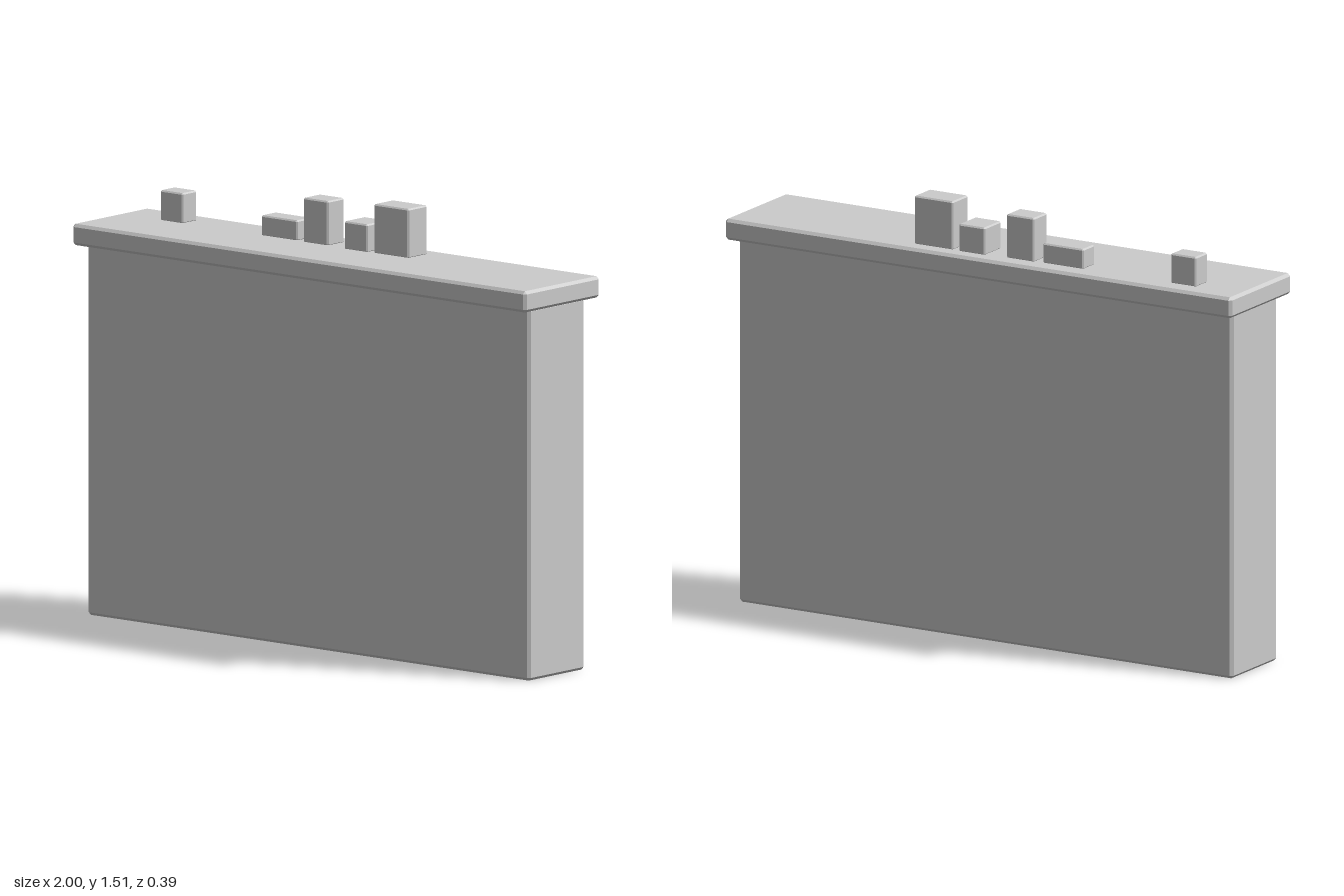
import * as THREE from 'three';
import { ConvexGeometry } from 'three/addons/geometries/ConvexGeometry.js';

const material = new THREE.MeshStandardMaterial({ color: 0xcccccc, flatShading: true });

// Box with every edge and corner cut by a chamfer c, standing on y0
function chamferedBox(name, [x0, x1], [y0, y1], [z0, z1], c) {
  const h = [(x1 - x0) / 2, (y1 - y0) / 2, (z1 - z0) / 2];
  const points = [];
  for (const sx of [-1, 1]) for (const sy of [-1, 1]) for (const sz of [-1, 1]) {
    for (let full = 0; full < 3; full++) {
      const [x, y, z] = h.map((v, i) => (i === full ? v : v - c));
      points.push(new THREE.Vector3(sx * x, sy * y, sz * z));
    }
  }
  const mesh = new THREE.Mesh(new ConvexGeometry(points), material);
  mesh.name = name;
  mesh.position.set((x0 + x1) / 2, (y0 + y1) / 2, (z0 + z1) / 2);
  return mesh;
}

export function createModel() {
  const model = new THREE.Group();
  model.name = 'counter';

  // Solid body and overhanging top
  model.add(chamferedBox('counterBody', [-0.975, 0.975], [0, 1.275], [-0.147, 0.147], 0.01));
  model.add(chamferedBox('counterTop', [-1, 1], [1.27, 1.343], [-0.197, 0.197], 0.01));

  // Small items along the back of the top: x range, top height, depth
  const items = [
    [-0.82, -0.72, 1.445, 0.076],
    [-0.375, -0.215, 1.411, 0.076],
    [-0.184, -0.075, 1.494, 0.087],
    [0.004, 0.107, 1.437, 0.108],
    [0.132, 0.285, 1.51, 0.1],
  ];
  const zMid = -0.09;
  items.forEach(([x0, x1, top, depth], i) => {
    model.add(chamferedBox(`countertopItem${i + 1}`, [x0, x1], [1.34, top],
      [zMid - depth / 2, zMid + depth / 2], 0.005));
  });
  return model;
}
